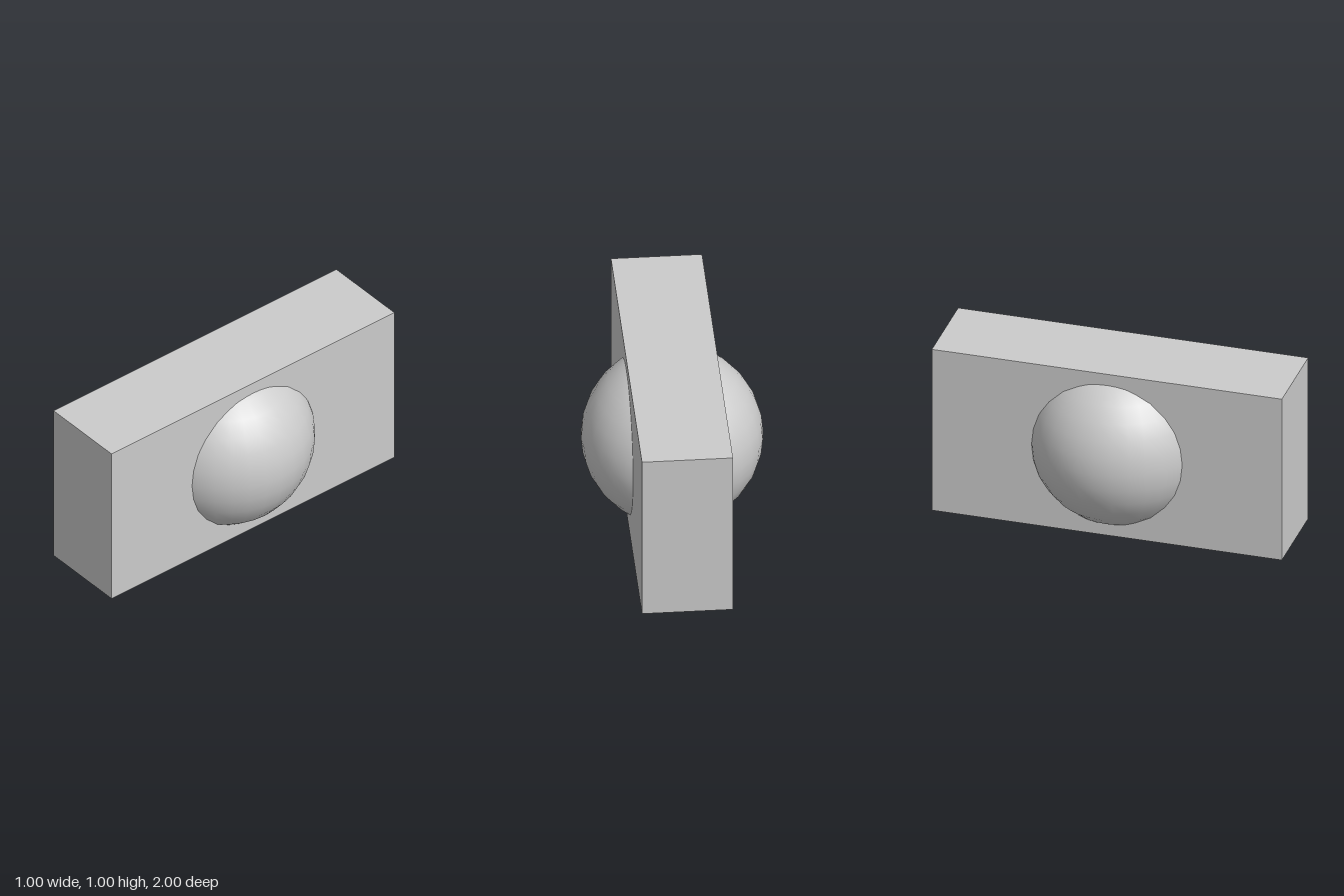
import * as THREE from 'three';

export function createModel() {
  const model = new THREE.Group();
  const material = new THREE.MeshStandardMaterial({ color: 0xcccccc });

  const add = (name, geometry) => {
    const mesh = new THREE.Mesh(geometry, material);
    mesh.name = name;
    mesh.position.y = 0.5;
    model.add(mesh);
  };

  // Long upright slab
  add('block', new THREE.BoxGeometry(0.5, 1, 2));
  // Ball through the middle, bulging from both sides
  add('ball', new THREE.SphereGeometry(0.5, 32, 16));

  return model;
}
